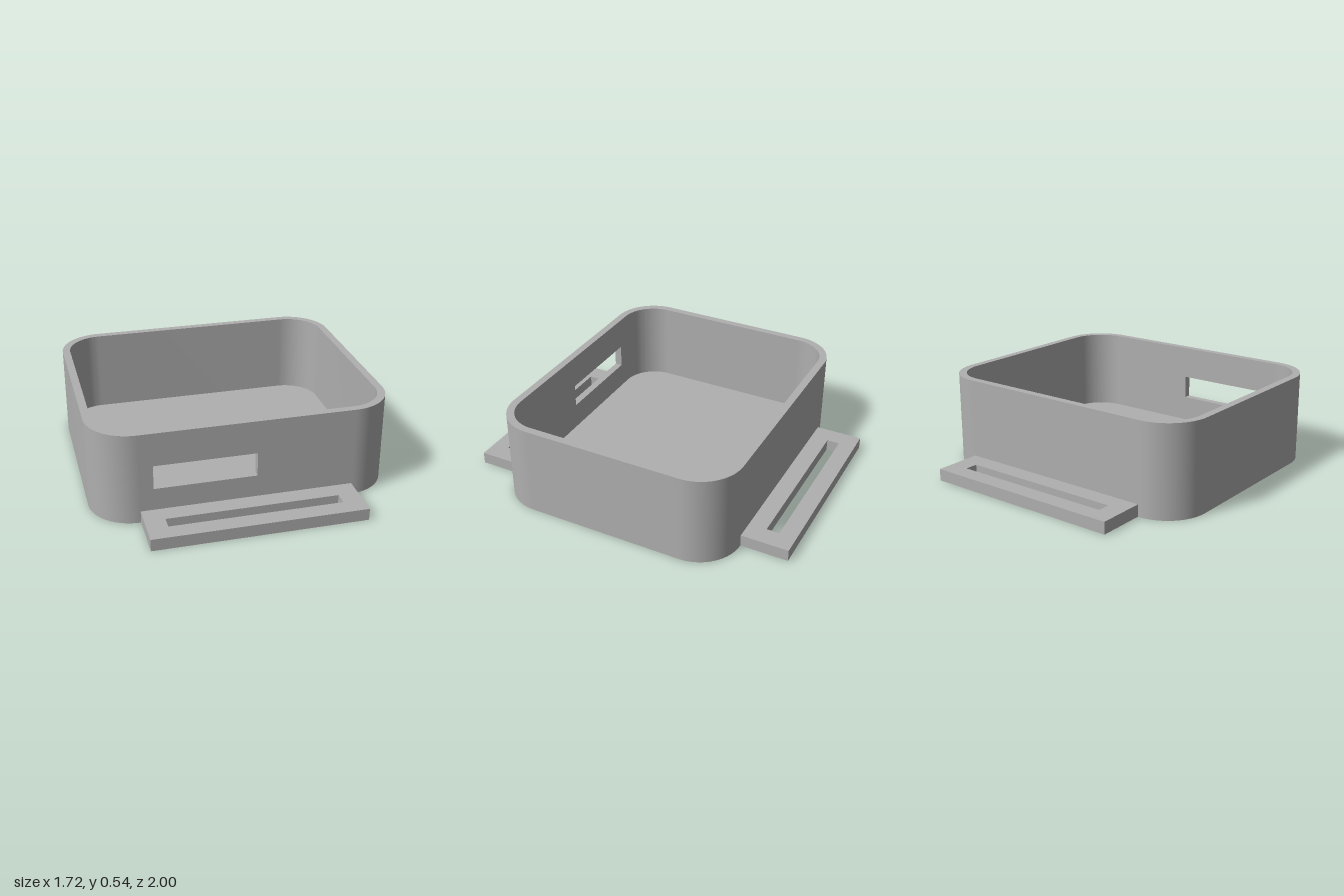
import * as THREE from 'three';
import { toCreasedNormals } from 'three/addons/utils/BufferGeometryUtils.js';

const HX = 0.86, HZ = 0.72;      // half size of the case
const R = 0.25, WALL = 0.045;    // outer corner radius, wall thickness
const H = 0.535, FLOOR = 0.045, TAB_H = 0.07;
const CX = HX - R, CZ = HZ - R;  // corner centres

// Corners in turning order, starting beside the front wall
const CORNERS = [[CX, -CZ], [CX, CZ], [-CX, CZ], [-CX, -CZ]];

function roundCorners(shape, r) {
  CORNERS.forEach(([x, y], i) =>
    shape.absarc(x, y, r, (i - 1) * Math.PI / 2, i * Math.PI / 2, false));
}

function rect(Type, x0, y0, x1, y1) {
  return new Type([[x0, y0], [x1, y0], [x1, y1], [x0, y1]].map(p => new THREE.Vector2(...p)));
}

function extrude(shape, depth) {
  const geometry = new THREE.ExtrudeGeometry(shape, { depth, bevelEnabled: false, curveSegments: 16 });
  return toCreasedNormals(geometry, Math.PI / 6);
}

export function createModel() {
  const group = new THREE.Group();
  group.name = 'strapCase';
  const grey = new THREE.MeshStandardMaterial({ color: 0xb0b0b0 });
  grey.name = 'grey plastic';

  const add = (name, geometry) => {
    const mesh = new THREE.Mesh(geometry, grey);
    mesh.name = name;
    group.add(mesh);
    return mesh;
  };

  // Back and side walls: a rounded band left open at the front
  const band = new THREE.Shape();
  roundCorners(band, R);
  [...CORNERS].reverse().forEach(([x, y], k) => {
    const i = 3 - k;
    band.absarc(x, y, R - WALL, i * Math.PI / 2, (i - 1) * Math.PI / 2, true);
  });
  band.closePath();
  add('sideWalls', extrude(band, H).rotateX(-Math.PI / 2));

  // Front wall with its window
  const front = rect(THREE.Shape, -CX, 0, CX, H);
  front.holes.push(rect(THREE.Path, -0.53, 0.2, 0.05, 0.34));
  add('frontWall', extrude(front, WALL).translate(0, 0, HZ - WALL));

  // Floor between the walls
  const floor = new THREE.Shape();
  roundCorners(floor, R - WALL);
  floor.closePath();
  add('floor', extrude(floor, FLOOR).rotateX(-Math.PI / 2));

  // Strap tabs with slots, front and back
  for (const [name, turn] of [['backTab', 0], ['frontTab', Math.PI]]) {
    const tab = rect(THREE.Shape, -0.605, HZ, 0.605, 1);
    tab.holes.push(rect(THREE.Path, -0.49, 0.825, 0.49, 0.9));
    add(name, extrude(tab, TAB_H).rotateX(-Math.PI / 2)).rotation.y = turn;
  }

  return group;
}
